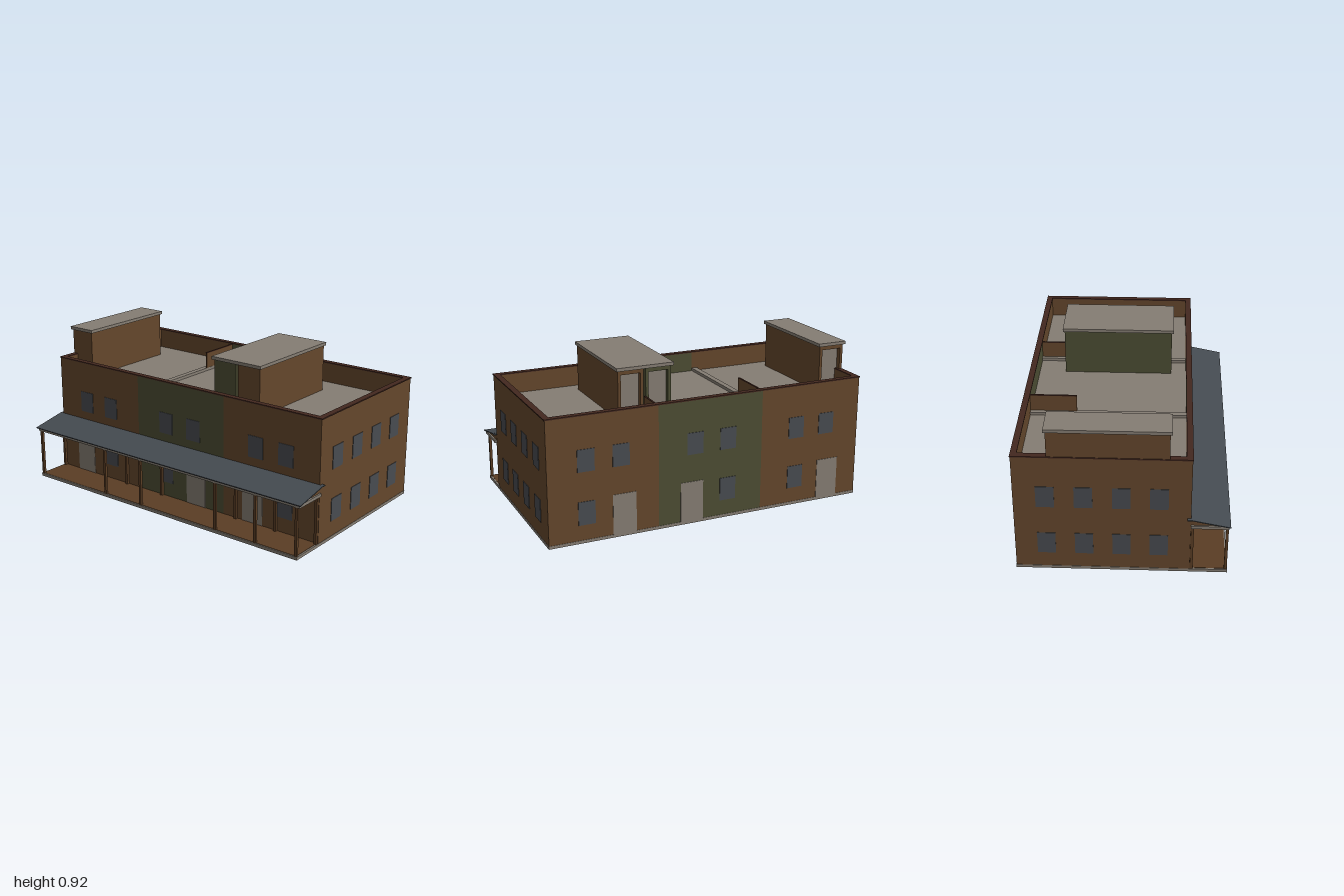
import * as THREE from 'three';

const mat = (name, color) => new THREE.MeshStandardMaterial({ name, color });

export function createModel() {
  const brown = mat('brown wall', 0x64472c);
  const green = mat('green wall', 0x4c4d33);
  const stone = mat('grey stone', 0x857d73);
  const glass = mat('window grey', 0x484b50);
  const slate = mat('awning slate', 0x454b51);
  const coping = mat('dark red coping', 0x43281f);
  const timber = mat('porch timber', 0x5a3d24);

  const model = new THREE.Group();
  model.name = 'rowBuilding';

  // Box given by its limits on each axis
  const box = (name, m, x0, x1, y0, y1, z0, z1, parent = model) => {
    const mesh = new THREE.Mesh(new THREE.BoxGeometry(x1 - x0, y1 - y0, z1 - z0), m);
    mesh.position.set((x0 + x1) / 2, (y0 + y1) / 2, (z0 + z1) / 2);
    mesh.name = name;
    parent.add(mesh);
    return mesh;
  };
  // Side profile of [z, y] points, extruded across x
  const prism = (name, m, points, width) => {
    const shape = new THREE.Shape(points.map(([z, y]) => new THREE.Vector2(z, y)));
    const geo = new THREE.ExtrudeGeometry(shape, { depth: width, bevelEnabled: false });
    geo.rotateY(-Math.PI / 2).translate(width / 2, 0, 0);
    const mesh = new THREE.Mesh(geo, m);
    mesh.name = name;
    model.add(mesh);
  };

  const W = 0.978, BACK = -0.59, FRONT = 0.37, T = 0.03;
  const FLOOR = 0.018, ROOF = 0.615, TOP = 0.735;

  // Ground slab and porch floor
  box('slab', stone, -0.98, 0.98, 0, FLOOR, -0.592, 0.578);
  box('porchFloor', timber, -0.97, 0.97, FLOOR, FLOOR + 0.002, FRONT, 0.57);

  // Front and back walls in three units, then the side walls
  const units = [[-W, -0.325, brown], [-0.325, 0.325, green], [0.325, W, brown]];
  for (const [x0, x1, m] of units) {
    box('frontWall', m, x0, x1, FLOOR, TOP, FRONT - T, FRONT);
    box('backWall', m, x0, x1, FLOOR, TOP, BACK, BACK + T);
  }
  box('rightWall', brown, -W, -W + T, FLOOR, TOP, BACK + T, FRONT - T);
  box('leftWall', brown, W - T, W, FLOOR, TOP, BACK + T, FRONT - T);

  // Parapet coping
  const C = 0.982;
  box('frontCoping', coping, -C, C, TOP, 0.742, FRONT - T - 0.002, FRONT + 0.003);
  box('backCoping', coping, -C, C, TOP, 0.742, BACK - 0.003, BACK + T + 0.002);
  for (const s of [-1, 1]) {
    const a = s * C, b = s * (W - T - 0.002);
    box('sideCoping', coping, Math.min(a, b), Math.max(a, b), TOP, 0.742, BACK + T, FRONT - T);
  }

  // Flat roof with low curbs and dividing walls
  box('roof', stone, -W + T, W - T, ROOF - 0.02, ROOF, BACK + T, FRONT - T);
  box('roofCurb', stone, -0.36, -0.325, ROOF, ROOF + 0.018, BACK + T, FRONT - T);
  box('roofCurb', stone, 0.298, 0.328, ROOF, ROOF + 0.018, BACK + T, FRONT - T);
  for (const [x, z1] of [[-0.33, -0.29], [0.325, -0.4]]) {
    box('roofDivider', brown, x - 0.004, x + 0.004, ROOF, 0.73, BACK + T, z1);
    box('dividerCoping', coping, x - 0.005, x + 0.005, 0.73, TOP, BACK + T, z1);
  }

  // Stair houses, each with a recessed door at the back
  const stairHouse = (x0, x1, m) => {
    const g = new THREE.Group();
    g.name = 'stairHouse';
    model.add(g);
    const y1 = 0.896, z0 = -0.4, zd = -0.365, j = 0.018;
    box('houseBody', m, x0, x1, ROOF, y1, zd, 0.25, g);
    box('doorJamb', m, x0, x0 + j, ROOF, y1, z0, zd, g);
    box('doorJamb', m, x1 - j, x1, ROOF, y1, z0, zd, g);
    box('doorHeader', m, x0 + j, x1 - j, 0.872, y1, z0, zd, g);
    box('houseDoor', stone, x0 + j, x1 - j, ROOF, 0.872, zd - 0.005, zd, g);
  };
  stairHouse(-W, -0.818, brown);
  stairHouse(0.163, 0.319, green);
  stairHouse(0.333, 0.487, brown);
  for (const [x0, x1] of [[-0.99, -0.806], [0.15, 0.497]])
    box('houseCap', stone, x0, x1, 0.896, 0.915, -0.41, 0.26);

  // Windows and doors, the same on front and back
  const P = 0.003;
  const faces = [[FRONT, FRONT + P], [BACK - P, BACK]];
  for (const [z0, z1] of faces) {
    for (const x of [-0.757, -0.555, -0.107, 0.1, 0.55, 0.755])
      box('upperWindow', glass, x - 0.05, x + 0.05, 0.418, 0.547, z0, z1);
    for (const x of [-0.555, -0.107, 0.755])
      box('lowerWindow', glass, x - 0.05, x + 0.05, 0.108, 0.245, z0, z1);
    for (const x of [-0.777, 0.12, 0.532])
      box('door', stone, x - 0.07, x + 0.07, FLOOR, 0.255, z0, z1);
  }
  // Side windows
  for (const [x0, x1] of [[-W - P, -W], [W, W + P]])
    for (const z of [0.198, -0.006, -0.211, -0.417])
      for (const [y0, y1] of [[0.11, 0.245], [0.418, 0.55]])
        box('sideWindow', glass, x0, x1, y0, y1, z - 0.05, z + 0.05);

  // Porch awning: ceiling board, gable wedge and sloping sheet
  box('awningCeiling', stone, -0.99, 0.99, 0.302, 0.32, FRONT, 0.577);
  prism('awningGable', brown, [[0.575, 0.32], [FRONT, 0.363], [FRONT, 0.32]], 1.96);
  prism('awningRoof', slate, [[0.586, 0.318], [0.586, 0.323], [FRONT, 0.367], [FRONT, 0.362]], 2);
  // Short returns of the awning past the wall ends
  for (const s of [-1, 1])
    box('awningReturn', slate, s > 0 ? 0.981 : -1, s > 0 ? 1 : -0.981, 0.36, 0.366, 0.35, FRONT);

  // Porch posts, at the edge and against the wall
  for (const x of [-0.968, -0.425, -0.14, 0.42, 0.697, 0.968])
    for (const z of [0.568, 0.379])
      box('porchPost', timber, x - 0.008, x + 0.008, FLOOR, 0.302, z - 0.008, z + 0.008);

  return model;
}
